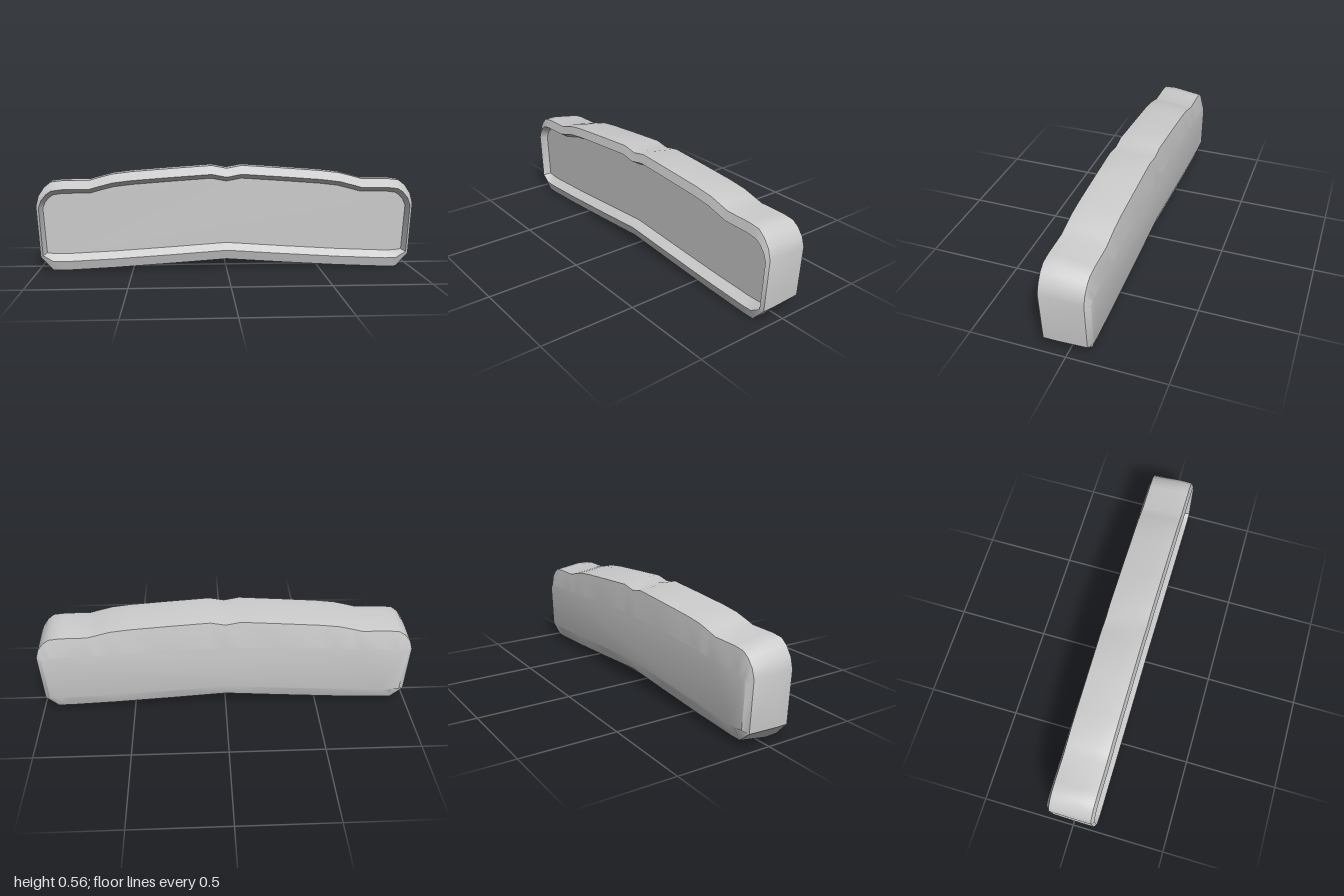
import * as THREE from 'three';
import { toCreasedNormals } from 'three/addons/utils/BufferGeometryUtils.js';

// Half outline from bottom centre to top centre:
// x, y, vertical inset weight (- pushes up, + pushes down), sideways inset weight
const HALF = [
  [0, 0.055, -1, 0], [0.3, 0.034, -1, 0], [0.6, 0.015, -1, 0], [0.86, 0.003, -1, 0], [0.92, 0.004, -1, 0.2],
  [0.985, 0.077, -0.2, 1], [1, 0.35, 0.2, 1], [0.985, 0.405, 0.5, 1], [0.955, 0.45, 0.8, 0.7],
  [0.92, 0.478, 1, 0.2], [0.86, 0.485, 1, 0], [0.72, 0.486, 1, 0], [0.67, 0.5, 1, 0],
  [0.6, 0.518, 1, 0], [0.5, 0.53, 1, 0], [0.3, 0.545, 1, 0], [0.08, 0.56, 1, 0], [0, 0.545, 1, 0],
];

// Mirrored full outline, counter-clockwise seen from the front
const OUTLINE = [
  ...HALF,
  ...HALF.slice(1, -1).reverse().map(([x, y, w, u]) => [-x, y, w, u]),
];

// One cross-section: side, bottom and top insets at depth z; flatten evens out the top arch
function section(z, side, bottom, top, flatten = 0) {
  return OUTLINE.map(([x, y, w, u]) => {
    const dy = w < 0 ? -w * bottom : -w * (top + flatten * Math.max(0, y - 0.48));
    return new THREE.Vector3(x - Math.sign(x) * side * u, y + dy, z);
  });
}

function shellGeometry(loops) {
  const pos = [];
  const tri = (...pts) => pts.forEach((p) => pos.push(p.x, p.y, p.z));
  const cap = (loop, flip) => {
    for (const [a, b, c] of THREE.ShapeUtils.triangulateShape(loop.map((p) => new THREE.Vector2(p.x, p.y)), [])) {
      if (flip) tri(loop[a], loop[c], loop[b]);
      else tri(loop[a], loop[b], loop[c]);
    }
  };
  cap(loops[0], false);
  for (let k = 0; k < loops.length - 1; k++) {
    const a = loops[k], b = loops[k + 1];
    for (let i = 0; i < a.length; i++) {
      const j = (i + 1) % a.length;
      tri(a[i], b[i], b[j]);
      tri(a[i], b[j], a[j]);
    }
  }
  cap(loops[loops.length - 1], true);
  const geometry = new THREE.BufferGeometry();
  geometry.setAttribute('position', new THREE.Float32BufferAttribute(pos, 3));
  return toCreasedNormals(geometry, 0.65);
}

export function createModel() {
  const group = new THREE.Group();
  group.name = 'archedPanel';
  const material = new THREE.MeshStandardMaterial({ color: 0xcccccc });

  // Recessed front panel, raised rim, walls and softly domed back
  const shell = new THREE.Mesh(shellGeometry([
    section(0.085, 0.03, 0.084, 0.073),        // recessed panel edge
    section(0.128, 0.015, 0.05, 0.048),        // rim crest
    section(0.115, 0, 0.001, 0.002),           // front outer edge
    section(0.05, 0, -0.002, 0),               // fullest section
    section(-0.105, 0.002, 0.023, 0.024),      // back outer edge
    section(-0.127, 0.03, 0.087, 0.125, 0.55), // back dome
  ]), material);
  shell.name = 'panelShell';
  group.add(shell);
  return group;
}
